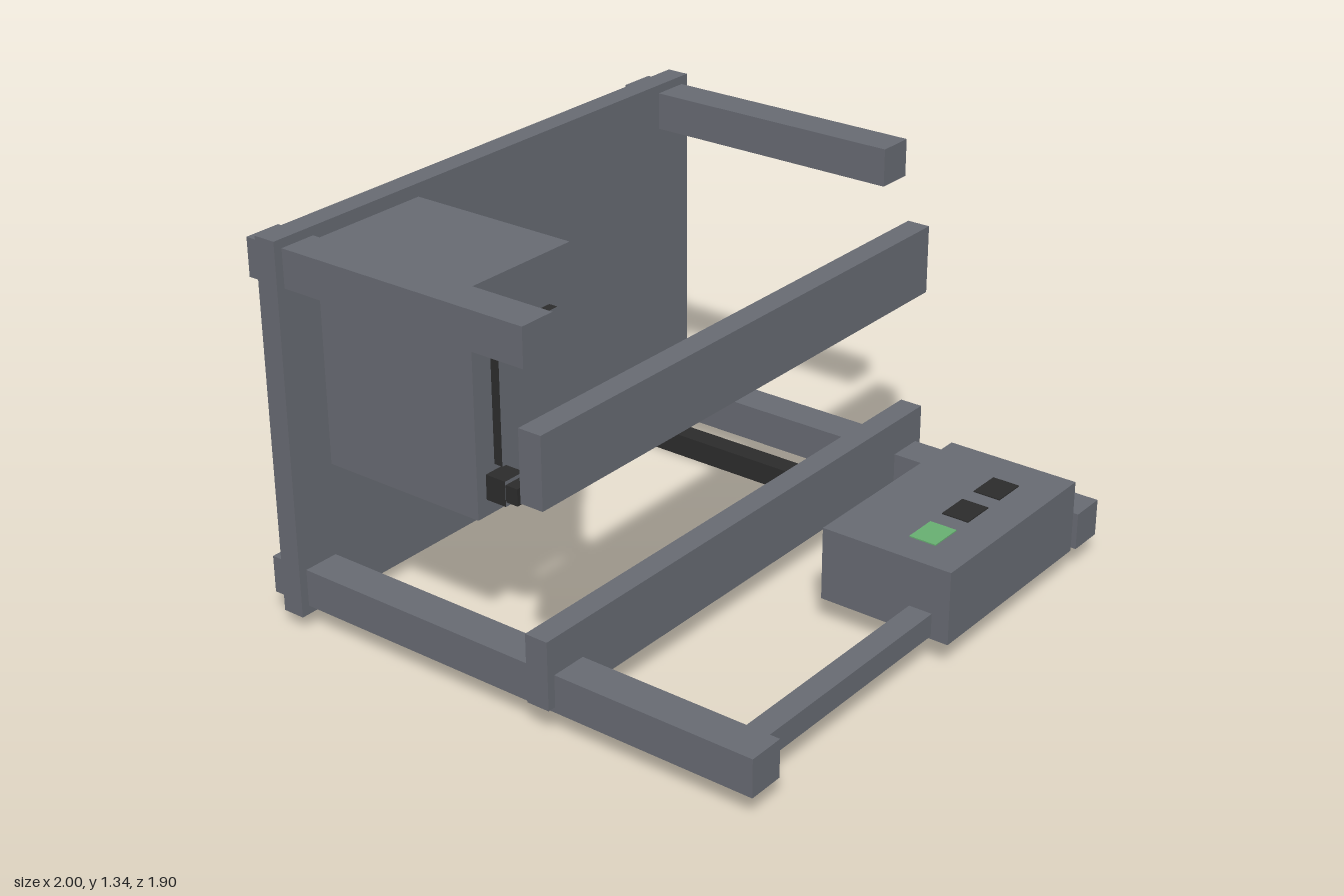
import * as THREE from 'three';

export function createModel() {
  const model = new THREE.Group();
  model.name = 'machineFrame';

  const material = (name, color) => {
    const m = new THREE.MeshStandardMaterial({ color });
    m.name = name;
    return m;
  };
  const steel = material('steel grey', 0x686b73);
  const dark = material('charcoal', 0x2c2c2c);
  const green = material('green', 0x68b072);

  // Box given by its extents on each axis
  const block = (name, mat, [x0, x1], [y0, y1], [z0, z1]) => {
    const mesh = new THREE.Mesh(new THREE.BoxGeometry(x1 - x0, y1 - y0, z1 - z0), mat);
    mesh.position.set((x0 + x1) / 2, (y0 + y1) / 2, (z0 + z1) / 2);
    mesh.name = name;
    model.add(mesh);
    return mesh;
  };

  // Back plate and the two front cross rails
  block('backPlate', steel, [-1, 1], [0.05, 1.335], [-0.88, -0.8]);
  block('upperCrossRail', steel, [-1, 1], [0.765, 1.005], [0.145, 0.228]);
  block('lowerCrossRail', steel, [-1, 1], [0.1, 0.335], [0.145, 0.228]);

  // Long beams on both sides
  for (const [side, x] of [['right', [-0.97, -0.84]], ['left', [0.84, 0.97]]]) {
    block(side + 'LowerBeam', steel, x, [0.08, 0.21], [-0.95, 0.95]);
    block(side + 'UpperBeam', steel, x, [1.175, 1.305], [-0.95, 0.145]);
  }
  block('frontTieBar', steel, [-0.84, 0.84], [0.1, 0.18], [0.805, 0.888]);

  // Cabinet with a dark-edged, grey-faced door
  const greyFront = [dark, dark, dark, dark, steel, dark];
  block('cabinet', steel, [-0.83, -0.38], [0.53, 1.29], [-0.8, -0.18]);
  block('cabinetDoor', greyFront, [-0.75, -0.48], [0.69, 1.12], [-0.18, -0.148]);

  // Dark slide bar on two brackets
  block('darkBracket', greyFront, [-0.79, -0.705], [0.585, 0.67], [-0.18, -0.103]);
  block('greyBracket', steel, [-0.507, -0.423], [0.585, 0.67], [-0.18, -0.103]);
  block('slideBar', dark, [-0.788, 0.733], [0.6, 0.658], [-0.103, -0.058]);

  // Cable duct running under the frame
  block('cableDuct', dark, [0.713, 0.79], [0, 0.08], [-0.95, 0.477]);

  // Control box with three thin buttons
  block('controlBox', steel, [0.047, 0.805], [0.09, 0.345], [0.475, 0.95]);
  [green, dark, dark].forEach((mat, i) => {
    const x = 0.163 + i * 0.19;
    block('button' + (i + 1), mat, [x, x + 0.122], [0.344, 0.349], [0.723, 0.82]);
  });

  return model;
}
